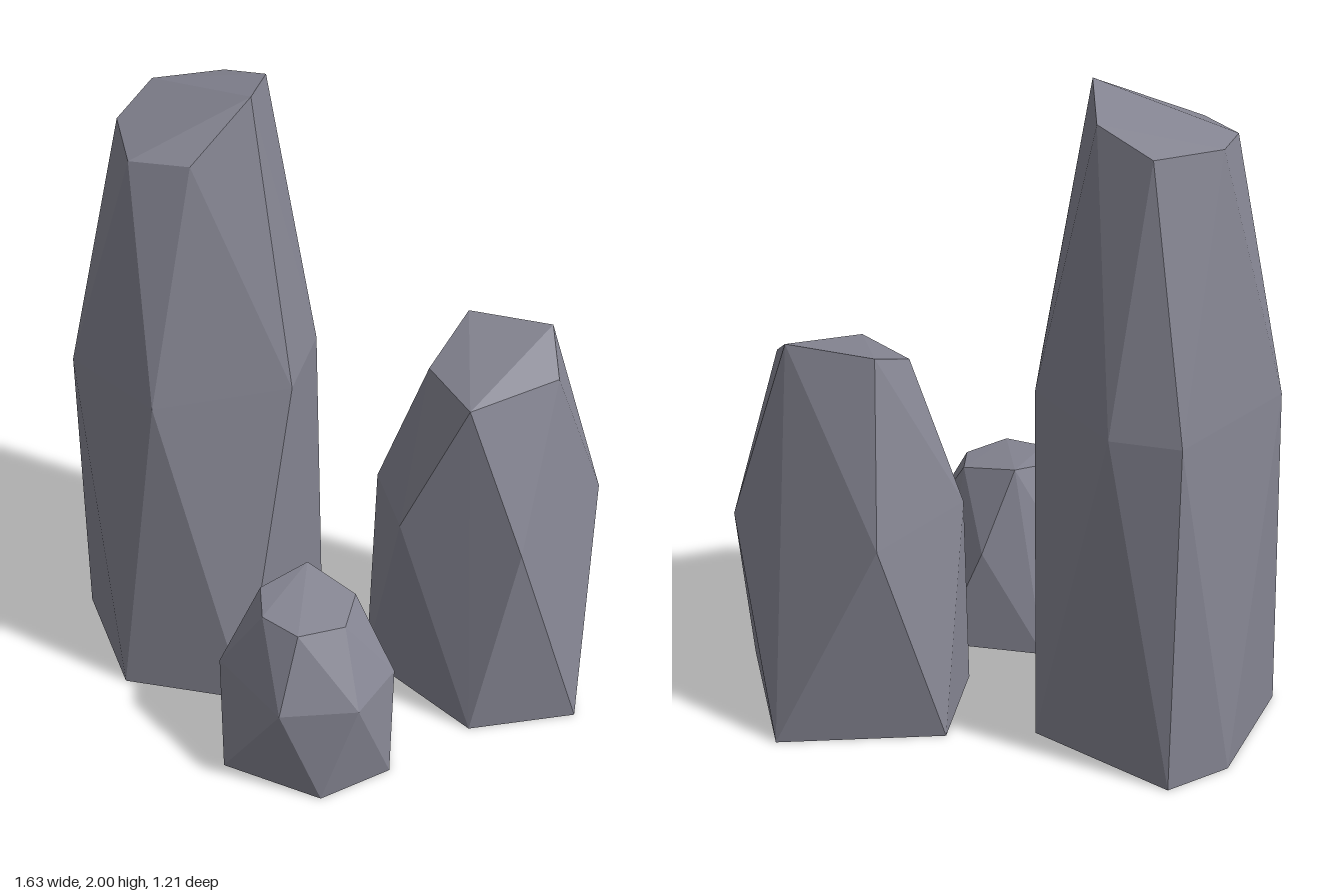
import * as THREE from 'three';
import { ConvexGeometry } from 'three/addons/geometries/ConvexGeometry.js';

// Each faceted rock is the hull of a base ring, a waist ring and a slanted crown.
// Base and waist corners are [x, z]; crown corners are [x, y, z].
const rocks = [
  {
    name: 'tallRock',
    base: [[-0.82, 0.11], [-0.51, 0.39], [-0.135, 0.28], [-0.11, 0.03], [-0.18, -0.315], [-0.64, -0.48], [-0.78, -0.315]],
    waistY: 1.1,
    waist: [[-0.82, 0], [-0.73, 0.24], [-0.385, 0.345], [-0.077, 0.055], [-0.14, -0.21], [-0.43, -0.45], [-0.64, -0.44]],
    crown: [[-0.65, 1.857, 0.05], [-0.51, 1.84, 0.213], [-0.336, 1.845, 0.165], [-0.245, 2, -0.024],
      [-0.323, 1.945, -0.244], [-0.5, 1.883, -0.305], [-0.66, 1.883, -0.16]],
  },
  {
    name: 'mediumRock',
    base: [[0.073, -0.415], [0.55, -0.61], [0.815, -0.156], [0.55, 0.06], [0.116, -0.077]],
    waistY: 0.68,
    waist: [[0.095, -0.174], [0.27, 0.015], [0.655, -0.03], [0.72, -0.455], [0.23, -0.547]],
    crown: [[0.28, 1.225, -0.398], [0.545, 1.245, -0.424], [0.63, 1.157, -0.292], [0.455, 1.13, -0.055], [0.255, 1.135, -0.187]],
  },
  {
    name: 'smallRock',
    base: [[-0.16, 0.33], [-0.042, 0.565], [0.288, 0.547], [0.415, 0.34], [0.27, 0.08], [-0.065, 0.12]],
    waistY: 0.335,
    waist: [[-0.08, 0.25], [-0.103, 0.472], [0.178, 0.602], [0.375, 0.47], [0.385, 0.26], [0.138, 0.115]],
    crown: [[0.06, 0.6, 0.213], [0.24, 0.567, 0.24], [0.275, 0.552, 0.37], [0.178, 0.562, 0.485], [0.046, 0.567, 0.464], [-0.024, 0.57, 0.354]],
  },
];

export function createModel() {
  const model = new THREE.Group();
  model.name = 'rockCluster';
  const stone = new THREE.MeshStandardMaterial({ color: 0x858592 });
  stone.name = 'grey stone';

  for (const { name, base, waistY, waist, crown } of rocks) {
    const points = [
      ...base.map(([x, z]) => new THREE.Vector3(x, 0, z)),
      ...waist.map(([x, z]) => new THREE.Vector3(x, waistY, z)),
      ...crown.map((p) => new THREE.Vector3(...p)),
    ];
    const rock = new THREE.Mesh(new ConvexGeometry(points), stone);
    rock.name = name;
    model.add(rock);
  }
  return model;
}
